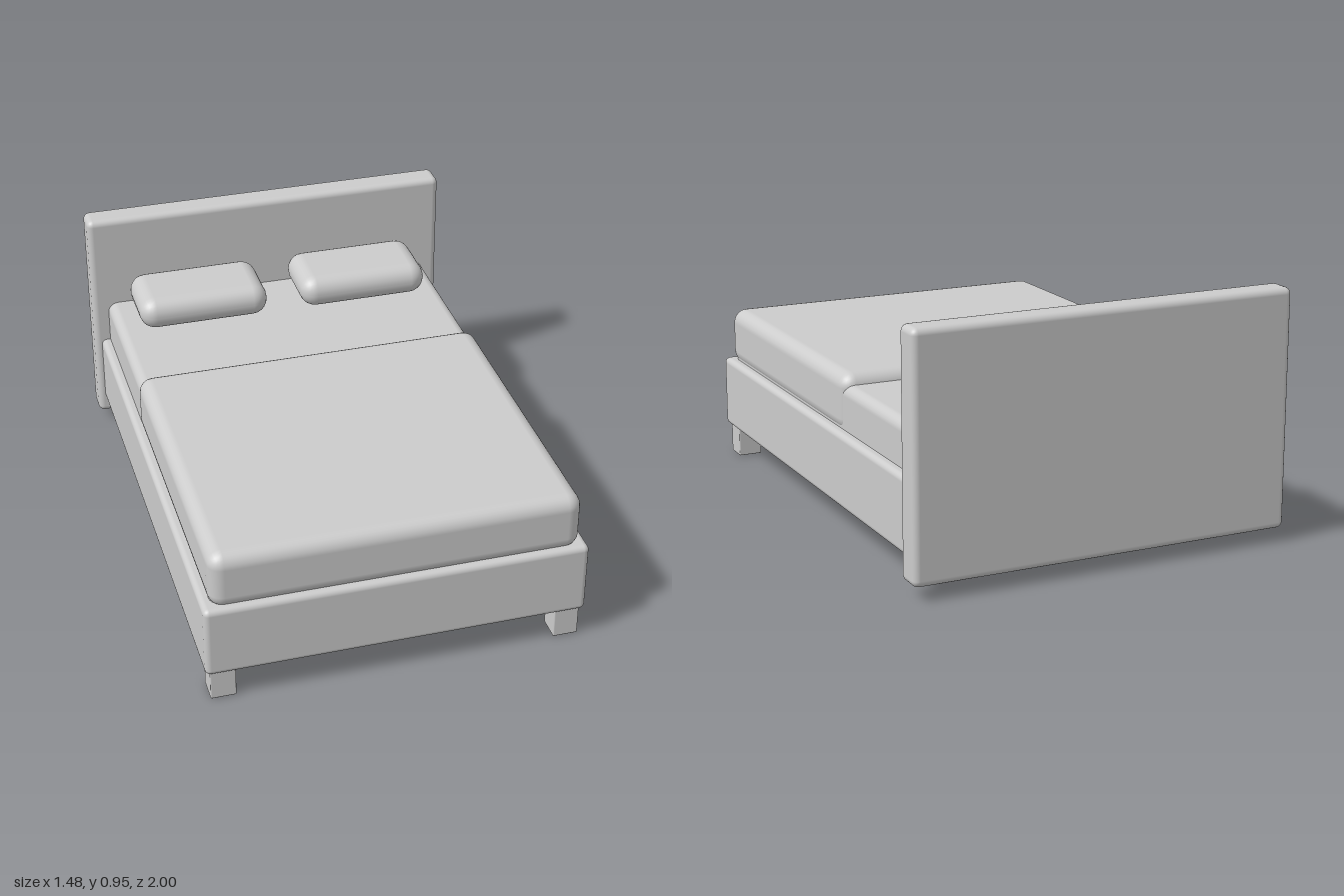
import * as THREE from 'three';
import { RoundedBoxGeometry } from 'three/addons/geometries/RoundedBoxGeometry.js';

export function createModel() {
  const bed = new THREE.Group();
  bed.name = 'bed';
  const grey = new THREE.MeshStandardMaterial({ color: 0xcccccc });
  grey.name = 'light grey';

  // Soft-edged block given by its [min, max] extents on each axis
  function block(name, [x0, x1], [y0, y1], [z0, z1], radius, segments = 3) {
    const geometry = new RoundedBoxGeometry(x1 - x0, y1 - y0, z1 - z0, segments, radius);
    const mesh = new THREE.Mesh(geometry, grey);
    mesh.name = name;
    mesh.position.set((x0 + x1) / 2, (y0 + y1) / 2, (z0 + z1) / 2);
    bed.add(mesh);
  }

  // Base and headboard; the base and mattress run into the headboard
  block('headboard', [-0.742, 0.742], [0.05, 0.953], [-1, -0.888], 0.025);
  block('bedFrame', [-0.713, 0.713], [0.118, 0.403], [-0.93, 1], 0.022);

  // Bedding
  block('mattress', [-0.677, 0.677], [0.36, 0.572], [-0.95, 0.96], 0.04);
  block('blanket', [-0.685, 0.685], [0.385, 0.612], [-0.252, 0.983], 0.055);

  // Mirrored pillows and front feet
  for (const [side, s] of [['left', 1], ['right', -1]]) {
    const span = (a, b) => (s > 0 ? [a, b] : [-b, -a]);
    block(side + 'Pillow', span(0.07, 0.595), [0.595, 0.726], [-0.867, -0.565], 0.064);
    block(side + 'FrontLeg', span(0.6, 0.695), [0, 0.125], [0.888, 0.983], 0.005, 1);
  }
  return bed;
}
